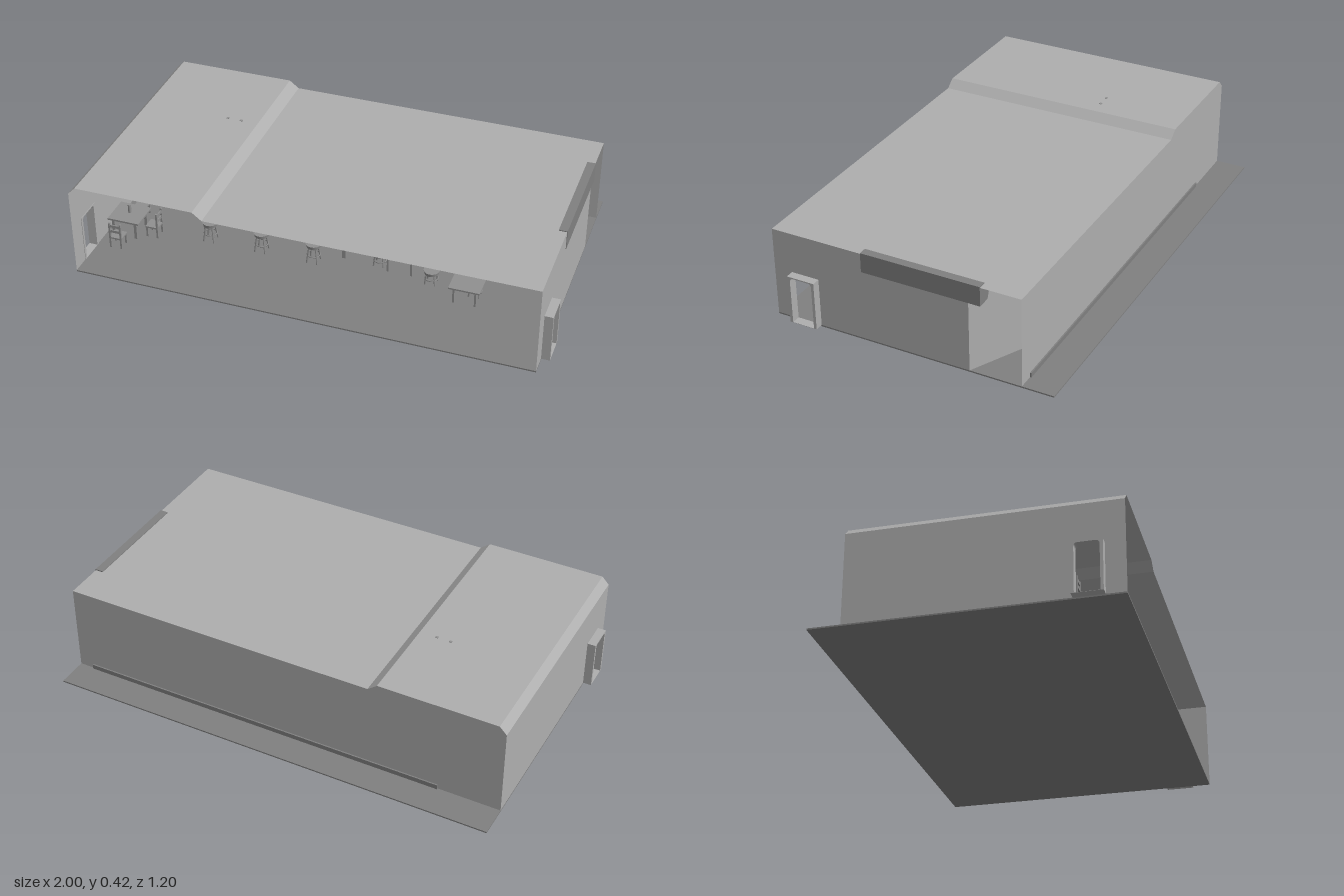
import * as THREE from 'three';

const mat = (name, color, side = THREE.FrontSide) => {
  const m = new THREE.MeshStandardMaterial({ color, side });
  m.name = name;
  return m;
};

export function createModel() {
  const root = new THREE.Group();
  root.name = 'barRoom';
  const wall = mat('light grey', 0xaeaeae, THREE.DoubleSide);
  const dark = mat('floor grey', 0x808080);
  const wood = mat('furniture grey', 0x909090);

  const add = (parent, name, geo, m, x = 0, y = 0, z = 0) => {
    const mesh = new THREE.Mesh(geo, m);
    mesh.name = name;
    mesh.position.set(x, y, z);
    parent.add(mesh);
    return mesh;
  };
  // Box given by its limits on each axis
  const box = (parent, name, x0, x1, y0, y1, z0, z1, m = wood) =>
    add(parent, name, new THREE.BoxGeometry(x1 - x0, y1 - y0, z1 - z0), m,
      (x0 + x1) / 2, (y0 + y1) / 2, (z0 + z1) / 2);
  const cyl = (parent, name, r0, r1, h, x, y, z, m = wood, n = 12) =>
    add(parent, name, new THREE.CylinderGeometry(r0, r1, h, n), m, x, y, z);
  const group = (name, x, y, z) => {
    const g = new THREE.Group();
    g.name = name;
    g.position.set(x, y, z);
    root.add(g);
    return g;
  };
  const poly = (pts) => new THREE.Shape(pts.map(([x, y]) => new THREE.Vector2(x, y)));

  // Shell: floor, profiled roof, back wall with the raised left section
  const W = 0.965, F = 0.6, B = -0.468;
  const roofLine = [[-W, 0.385], [-0.935, 0.416], [-0.43, 0.416], [-0.39, 0.385], [W, 0.385]];
  box(root, 'floor', -W, W, 0, 0.006, -F, F, dark);
  add(root, 'backWall', new THREE.ShapeGeometry(poly([[-W, 0.006], [W, 0.006], ...roofLine.slice().reverse()])), wall, 0, 0, B);
  for (let i = 0; i < roofLine.length - 1; i++) {
    const [x0, y0] = roofLine[i], [x1, y1] = roofLine[i + 1];
    const g = new THREE.PlaneGeometry(Math.hypot(x1 - x0, y1 - y0), F - B).rotateX(-Math.PI / 2);
    add(root, 'roofPanel', g, wall, (x0 + x1) / 2, (y0 + y1) / 2, (F + B) / 2)
      .rotation.z = Math.atan2(y1 - y0, x1 - x0);
  }

  // Side walls and door frames, drawn with z along the shape's x
  const doorway = (Shape) => {
    const a = 0.414, b = 0.51, t = 0.208, r = 0.016, p = new Shape();
    p.moveTo(a, 0.007);
    p.lineTo(a, t - r);
    p.quadraticCurveTo(a, t, a + r, t);
    p.lineTo(b - r, t);
    p.quadraticCurveTo(b, t, b, t - r);
    p.lineTo(b, 0.007);
    p.closePath();
    return p;
  };
  for (const s of [-1, 1]) {
    const back = s > 0 ? -0.25 : B;
    const side = poly([[back, 0.006], [F, 0.006], [F, 0.385], [back, 0.385]]);
    side.holes.push(doorway(THREE.Path));
    add(root, s > 0 ? 'leftSideWall' : 'rightSideWall',
      new THREE.ShapeGeometry(side).rotateY(-Math.PI / 2), wall, s * W);
    const frame = poly([[0.402, 0.006], [0.522, 0.006], [0.522, 0.213], [0.402, 0.213]]);
    frame.holes.push(doorway(THREE.Path));
    add(root, 'doorFrame', new THREE.ExtrudeGeometry(frame, { depth: 0.037, bevelEnabled: false })
      .rotateY(-Math.PI / 2), wall, s > 0 ? 1 : -0.963);
  }

  // Diagonal wall across the back corner
  const dx = W - 0.54, dz = -0.25 - B;
  add(root, 'diagonalWall', new THREE.PlaneGeometry(Math.hypot(dx, dz), 0.379), wall,
    (W + 0.54) / 2, 0.1955, (B - 0.25) / 2).rotation.y = -Math.atan2(dz, dx);
  box(root, 'baseboard', -0.7, 0.9, 0.006, 0.026, B - 0.006, B + 0.006, dark);

  // Lowered ceiling duct, curving down into a side pier
  const duct = poly([[-0.375, 0.384], [-0.36, 0.355], [0.87, 0.355], [0.895, 0.345], [0.91, 0.306],
    [0.967, 0.306], [0.967, 0.389], [0.932, 0.389], [0.932, 0.384]]);
  add(root, 'ceilingDuct', new THREE.ExtrudeGeometry(duct, { depth: 0.505, bevelEnabled: false }), dark, 0, 0, -0.3);
  box(root, 'sidePier', 0.912, 0.962, 0.006, 0.31, -0.24, 0.2, dark);

  // Ceiling lights
  for (const x of [-0.195, 0.3, 0.725])
    cyl(root, 'ceilingLight', 0.105, 0.07, 0.014, x, 0.375, 0.32, dark, 20);
  for (const x of [0.08, 0.3, 0.52])
    cyl(root, 'spotLight', 0.025, 0.03, 0.008, x, 0.351, 0, dark);

  // Stools: round seat, four splayed legs and a foot ring
  const stool = (x, z, h, y = 0.006) => {
    const g = group('stool', x, y, z);
    cyl(g, 'seat', 0.033, 0.03, 0.014, 0, h - 0.007, 0, wood, 16);
    for (let i = 0; i < 4; i++) {
      const pivot = new THREE.Group();
      pivot.name = 'stoolLeg';
      pivot.rotation.y = Math.PI / 4 + i * Math.PI / 2;
      g.add(pivot);
      cyl(pivot, 'leg', 0.004, 0.004, h - 0.012, 0.026, (h - 0.012) / 2, 0, wood, 6).rotation.z = 0.16;
    }
    add(g, 'footRing', new THREE.TorusGeometry(0.027, 0.003, 5, 16).rotateX(Math.PI / 2), wood, 0, h * 0.4, 0);
  };
  for (const x of [-0.53, -0.3, -0.07]) stool(x, 0.22, 0.09);
  stool(0.195, 0.15, 0.062);
  stool(0.43, 0.2, 0.062);
  stool(0.62, 0.22, 0.062);

  // Tables: flat top on four legs
  const table = (name, x0, x1, z0, z1, top, thick, leg) => {
    const g = group(name, 0, 0, 0);
    box(g, 'tableTop', x0, x1, top - thick, top, z0, z1);
    for (const x of [x0 + 0.02, x1 - 0.02])
      for (const z of [z0 + 0.015, z1 - 0.015])
        box(g, 'tableLeg', x - leg, x + leg, 0.006, top - thick, z - leg, z + leg);
    return g;
  };
  const bar = table('barCounter', -0.6, 0.06, 0.03, 0.17, 0.122, 0.014, 0.007);
  for (const x of [-0.38, -0.15]) box(bar, 'counterPost', x - 0.007, x + 0.007, 0.006, 0.108, 0.09, 0.104);
  box(bar, 'crate', -0.57, -0.51, 0.122, 0.146, 0.06, 0.11);
  for (const x of [-0.33, -0.31, -0.17, -0.13]) {
    cyl(bar, 'bottle', 0.006, 0.006, 0.022, x, 0.133, 0.09);
    cyl(bar, 'bottleNeck', 0.002, 0.004, 0.014, x, 0.151, 0.09, wood, 8);
  }
  table('smallTable', 0.22, 0.36, 0.06, 0.2, 0.084, 0.007, 0.004);
  table('smallTable', 0.53, 0.66, 0.19, 0.31, 0.084, 0.007, 0.004);

  // Dining corner with chairs
  const dining = table('diningTable', -0.95, -0.81, 0.2, 0.33, 0.09, 0.008, 0.006);
  cyl(dining, 'bottle', 0.007, 0.007, 0.04, -0.88, 0.11, 0.26);
  const chair = (x, z, turn) => {
    const g = group('chair', x, 0.006, z);
    g.rotation.y = turn;
    box(g, 'chairSeat', -0.028, 0.028, 0.044, 0.051, -0.028, 0.028);
    for (const a of [-0.024, 0.024]) {
      box(g, 'frontLeg', a - 0.004, a + 0.004, 0, 0.044, 0.018, 0.026);
      box(g, 'backLeg', a - 0.004, a + 0.004, 0, 0.12, -0.028, -0.02);
    }
    for (const y of [0.075, 0.1]) box(g, 'backSlat', -0.024, 0.024, y, y + 0.012, -0.027, -0.022);
  };
  chair(-0.88, 0.15, 0);
  chair(-0.88, 0.38, Math.PI);
  chair(-0.77, 0.26, -Math.PI / 2);

  // Small stage with stool and microphone stand
  add(root, 'stage', new THREE.ExtrudeGeometry(poly([[0.66, 0.02], [0.91, 0.02], [0.91, 0.2], [0.66, 0.32]]),
    { depth: 0.008, bevelEnabled: false }).rotateX(-Math.PI / 2), wood, 0, 0.006, 0);
  stool(0.865, -0.13, 0.065, 0.014);
  const mic = group('microphoneStand', 0.8, 0.014, -0.13);
  cyl(mic, 'standBase', 0.018, 0.02, 0.005, 0, 0.003, 0);
  cyl(mic, 'standPole', 0.003, 0.003, 0.13, 0, 0.065, 0, wood, 6);
  cyl(mic, 'microphone', 0.006, 0.004, 0.05, 0.015, 0.14, 0, wood, 8).rotation.z = -1.1;

  // Things on the back wall
  const onWall = (name, x0, x1, y0, y1, d = 0.008, m = dark) => box(root, name, x0, x1, y0, y1, B + 0.001, B + d, m);
  onWall('noticeBoard', 0.13, 0.26, 0.125, 0.295);
  onWall('smallPoster', 0.615, 0.68, 0.13, 0.2, 0.09);
  onWall('wallShelf', -0.77, -0.69, 0.196, 0.202, 0.03);
  onWall('wallLamp', 0.38, 0.44, 0.183, 0.198, 0.02);
  onWall('bottleCabinet', -0.4, -0.25, 0.215, 0.31, 0.012);
  for (const y of [0.215, 0.303]) onWall('cabinetRail', -0.4, -0.25, y, y + 0.007, 0.04, wood);
  for (const x of [-0.4, -0.257]) onWall('cabinetSide', x, x + 0.007, 0.222, 0.303, 0.04, wood);
  for (const x of [-0.385, -0.28]) onWall('cabinetBracket', x, x + 0.01, 0.18, 0.215, 0.025, wood);
  for (let i = 0; i < 4; i++) cyl(root, 'cabinetBottle', 0.003, 0.009, 0.065, -0.37 + i * 0.03, 0.255, B + 0.025, wood, 8);

  // Screens: one hung from the ceiling, one on the diagonal wall
  box(root, 'hangingScreen', -0.6, -0.465, 0.3, 0.365, -0.1, -0.08, dark);
  for (const x of [-0.57, -0.51]) box(root, 'screenHanger', x, x + 0.012, 0.365, 0.418, -0.095, -0.085);
  add(root, 'wallScreen', new THREE.BoxGeometry(0.14, 0.068, 0.015), dark, 0.777, 0.266, -0.335)
    .rotation.y = -Math.atan2(dz, dx);

  // Bracket shelf and picture on the side walls
  add(root, 'sideBracket', new THREE.ExtrudeGeometry(poly([[-0.963, 0.295], [-0.92, 0.32], [-0.92, 0.38], [-0.93, 0.38],
    [-0.93, 0.325], [-0.963, 0.307]]), { depth: 0.3, bevelEnabled: false }), dark, 0, 0, -0.1);
  box(root, 'sidePicture', -0.963, -0.955, 0.2, 0.28, 0.1, 0.22, dark);
  return root;
}
